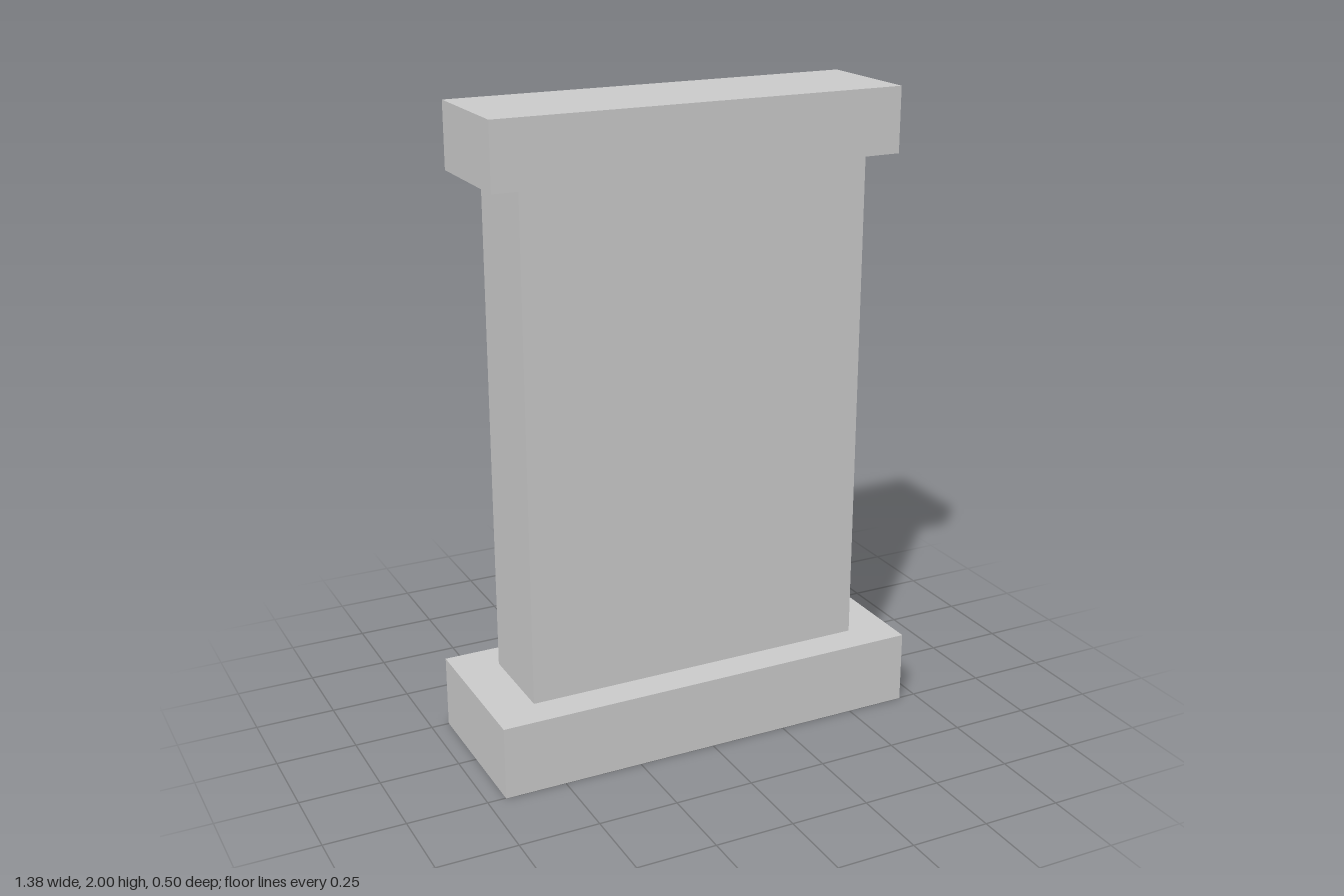
import * as THREE from 'three';

export function createModel() {
  const group = new THREE.Group();
  const material = new THREE.MeshStandardMaterial({ color: 0xcccccc, flatShading: true });

  // Centred block standing between two heights
  const block = (name, width, depth, bottom, top) => {
    const mesh = new THREE.Mesh(new THREE.BoxGeometry(width, top - bottom, depth), material);
    mesh.name = name;
    mesh.position.y = (bottom + top) / 2;
    group.add(mesh);
  };

  block('base', 1.385, 0.505, 0, 0.23);
  block('shaft', 1.108, 0.292, 0.23, 1.8);
  block('cap', 1.294, 0.366, 1.8, 2);

  return group;
}
